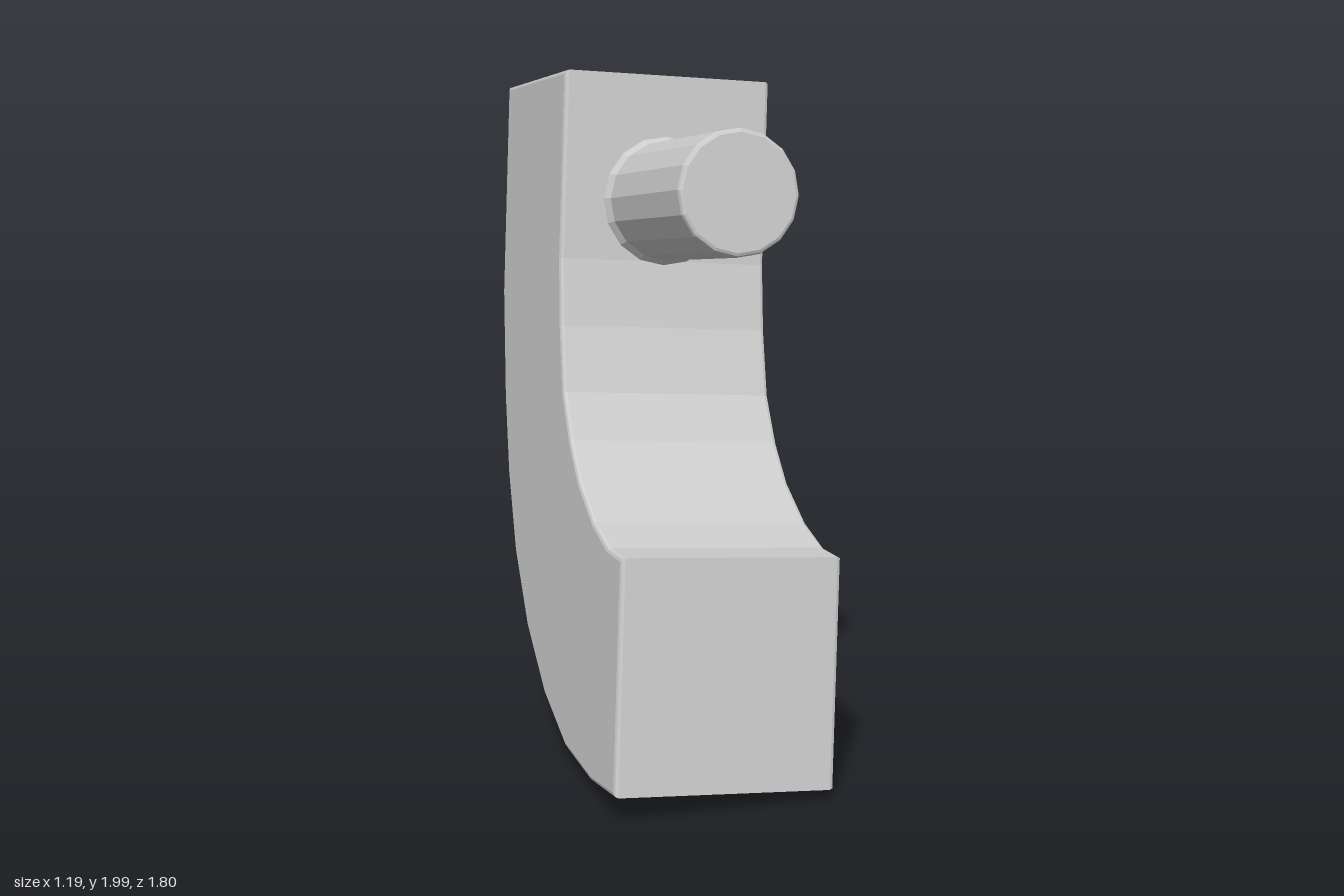
import * as THREE from 'three';

const WIDTH = 0.65;
const BEVEL = 0.012;

// Side profile of the hook as [forward, up] pairs
const OUTER = [
  [0.675, -0.065], [0.442, -0.06], [0.185, -0.01], [-0.046, 0.107], [-0.253, 0.281],
  [-0.417, 0.5], [-0.525, 0.742], [-0.592, 0.985], [-0.648, 1.32], [-0.65, 1.98],
];
const INNER = [
  [0, 1.98], [0, 1.42], [0.026, 1.22], [0.074, 1.023], [0.157, 0.883],
  [0.256, 0.771], [0.407, 0.667], [0.55, 0.608], [0.675, 0.594],
];

export function createModel() {
  const grey = new THREE.MeshStandardMaterial({ color: 0xcccccc });
  grey.name = 'light grey';
  const model = new THREE.Group();
  model.name = 'hookWithPeg';

  // Curved square-section arm, extruded across its width with a fine bevel
  const profile = new THREE.Shape([...OUTER, ...INNER].reverse().map(([f, v]) => new THREE.Vector2(f, v)));
  const armGeometry = new THREE.ExtrudeGeometry(profile, {
    depth: WIDTH - 2 * BEVEL,
    bevelThickness: BEVEL,
    bevelSize: BEVEL,
    bevelOffset: -BEVEL,
    bevelSegments: 2,
  });
  armGeometry.translate(0, 0, BEVEL - WIDTH / 2);
  armGeometry.rotateY(-Math.PI / 2);
  const arm = new THREE.Mesh(armGeometry, grey);
  arm.name = 'curvedArm';

  // Faceted peg: a lathe with a flared root and a softened tip
  const pegProfile = [
    [0.205, -0.02], [0.19, 0.008], [0.18, 0.025], [0.18, 0.628], [0.176, 0.637], [0.168, 0.641], [0, 0.641],
  ].map(([r, y]) => new THREE.Vector2(r, y));
  const pegGeometry = new THREE.LatheGeometry(pegProfile, 16).toNonIndexed();
  pegGeometry.computeVertexNormals();
  pegGeometry.rotateX(Math.PI / 2);
  const peg = new THREE.Mesh(pegGeometry, grey);
  peg.name = 'peg';
  peg.position.y = 1.603;

  // The whole piece is turned and leaned back
  const tilted = new THREE.Group();
  tilted.name = 'tiltedHook';
  tilted.rotation.set(THREE.MathUtils.degToRad(-10), THREE.MathUtils.degToRad(28.5), 0);
  tilted.position.set(0, 0.02, 0.155);
  tilted.add(arm, peg);
  model.add(tilted);
  return model;
}
